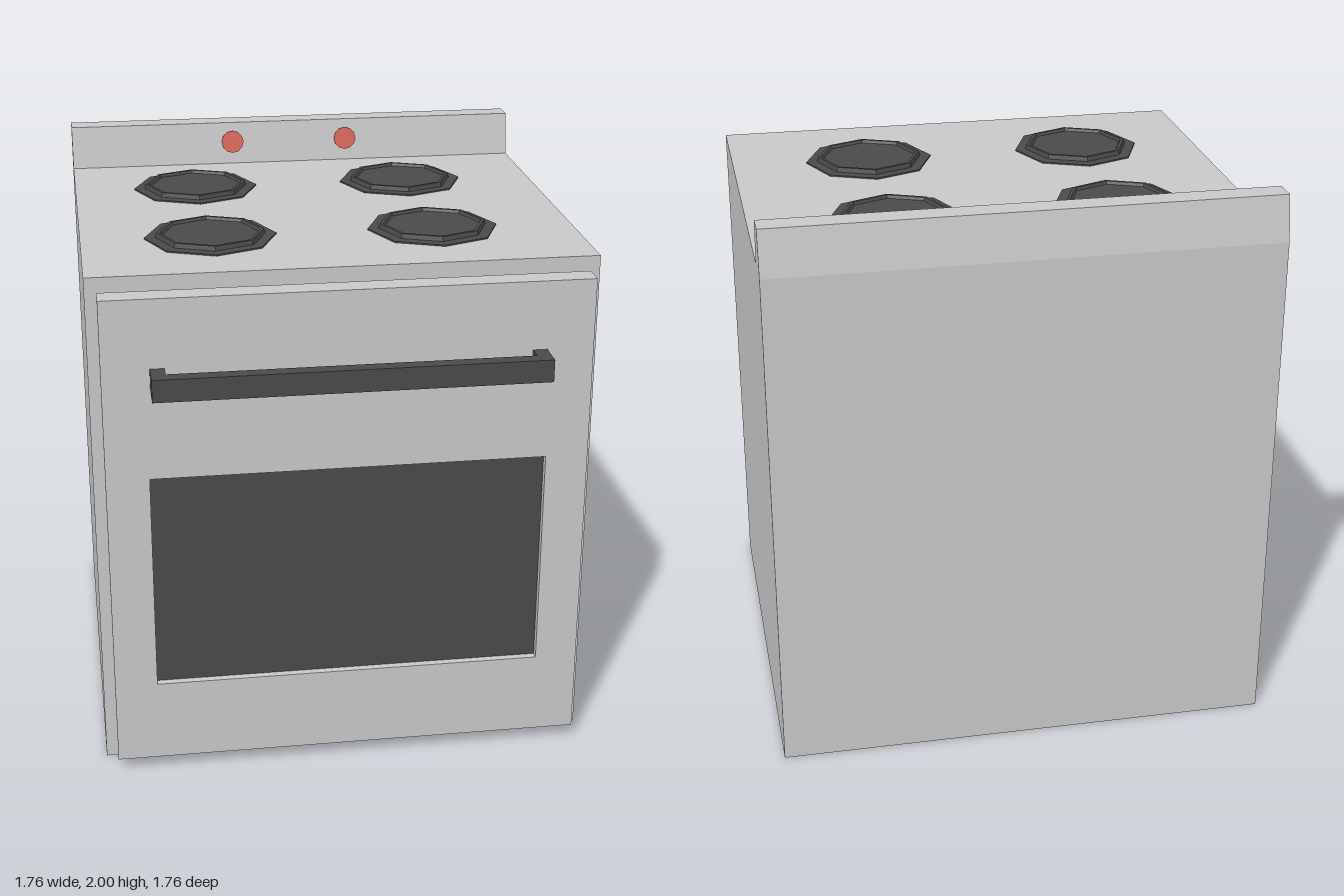
import * as THREE from 'three';

const mat = (name, color) => {
  const m = new THREE.MeshStandardMaterial({ color });
  m.name = name;
  return m;
};

const rectPoints = (x0, y0, x1, y1) => [
  new THREE.Vector2(x0, y0), new THREE.Vector2(x1, y0),
  new THREE.Vector2(x1, y1), new THREE.Vector2(x0, y1),
];

// Rectangular frame: outer rectangle with a rectangular hole, extruded along z
function frame(outer, inner, depth) {
  const shape = new THREE.Shape(rectPoints(...outer));
  shape.holes.push(new THREE.Path(rectPoints(...inner)));
  return new THREE.ExtrudeGeometry(shape, { depth, bevelEnabled: false });
}

export function createModel() {
  const group = new THREE.Group();
  group.name = 'stove';
  const enamel = mat('light grey enamel', 0xc9c9c9);
  const dark = mat('dark grey', 0x4a4a4a);
  const red = mat('red', 0xd96459);

  const add = (name, geometry, material, x = 0, y = 0, z = 0, parent = group) => {
    const mesh = new THREE.Mesh(geometry, material);
    mesh.name = name;
    mesh.position.set(x, y, z);
    parent.add(mesh);
    return mesh;
  };

  // Body and sloped back panel: side profile (z, y) extruded across the width
  const W = 0.88, floorY = 0.12;
  const profile = [
    [0.665, floorY], [0.665, 1.84], [-0.742, 1.84], [-0.767, 2],
    [-0.853, 2], [-0.88, 1.84], [-0.88, floorY],
  ].map(p => new THREE.Vector2(...p));
  const body = new THREE.ExtrudeGeometry(new THREE.Shape(profile), { depth: 2 * W, bevelEnabled: false });
  body.rotateY(-Math.PI / 2).translate(W, 0, 0);
  add('body', body, enamel);

  // Thin skirt around the recessed underside
  const t = 0.004;
  const skirt = frame([-W, -0.665, W, 0.88], [-W + t, -0.665 + t, W - t, 0.88 - t], floorY);
  skirt.rotateX(-Math.PI / 2);
  add('skirt', skirt, enamel);

  // Oven door: frame around a recessed window, closed by a back plate
  const door = new THREE.Group();
  door.name = 'ovenDoor';
  group.add(door);
  const outer = [-0.84, 0.05, 0.84, 1.795], hole = [-0.69, 0.35, 0.69, 1.15];
  add('doorFrame', frame(outer, hole, 0.085), enamel, 0, 0, 0.692, door);
  add('doorBack', new THREE.BoxGeometry(1.38, 0.8, 0.05), enamel, 0, 0.75, 0.717, door);
  add('window', new THREE.BoxGeometry(1.38, 0.8, 0.008), dark, 0, 0.75, 0.746, door);

  // Handle bar with two posts
  add('handleBar', new THREE.BoxGeometry(1.354, 0.08, 0.05), dark, 0, 1.51, 0.857, door);
  for (const s of [-1, 1])
    add('handlePost', new THREE.BoxGeometry(0.05, 0.08, 0.058), dark, s * 0.652, 1.51, 0.804, door);

  // Eight-sided burners: flange, raised rim and sunken plate
  const burnerProfile = [
    [0.234, 0], [0.234, 0.005], [0.195, 0.006], [0.19, 0.022],
    [0.178, 0.022], [0.172, 0.012], [0, 0.012],
  ].map(p => new THREE.Vector2(...p));
  const burner = new THREE.LatheGeometry(burnerProfile, 8).toNonIndexed();
  burner.computeVertexNormals();
  for (const x of [-0.422, 0.374])
    for (const z of [-0.393, 0.256]) add('burner', burner, dark, x, 1.84, z);

  // Flat knobs lying along the sloped back panel
  const knob = new THREE.CylinderGeometry(0.044, 0.044, 0.006, 12);
  knob.rotateX(Math.PI / 2 - Math.atan2(0.025, 0.16));
  for (const x of [-0.242, 0.213]) add('knob', knob, red, x, 1.925, -0.75);

  return group;
}
